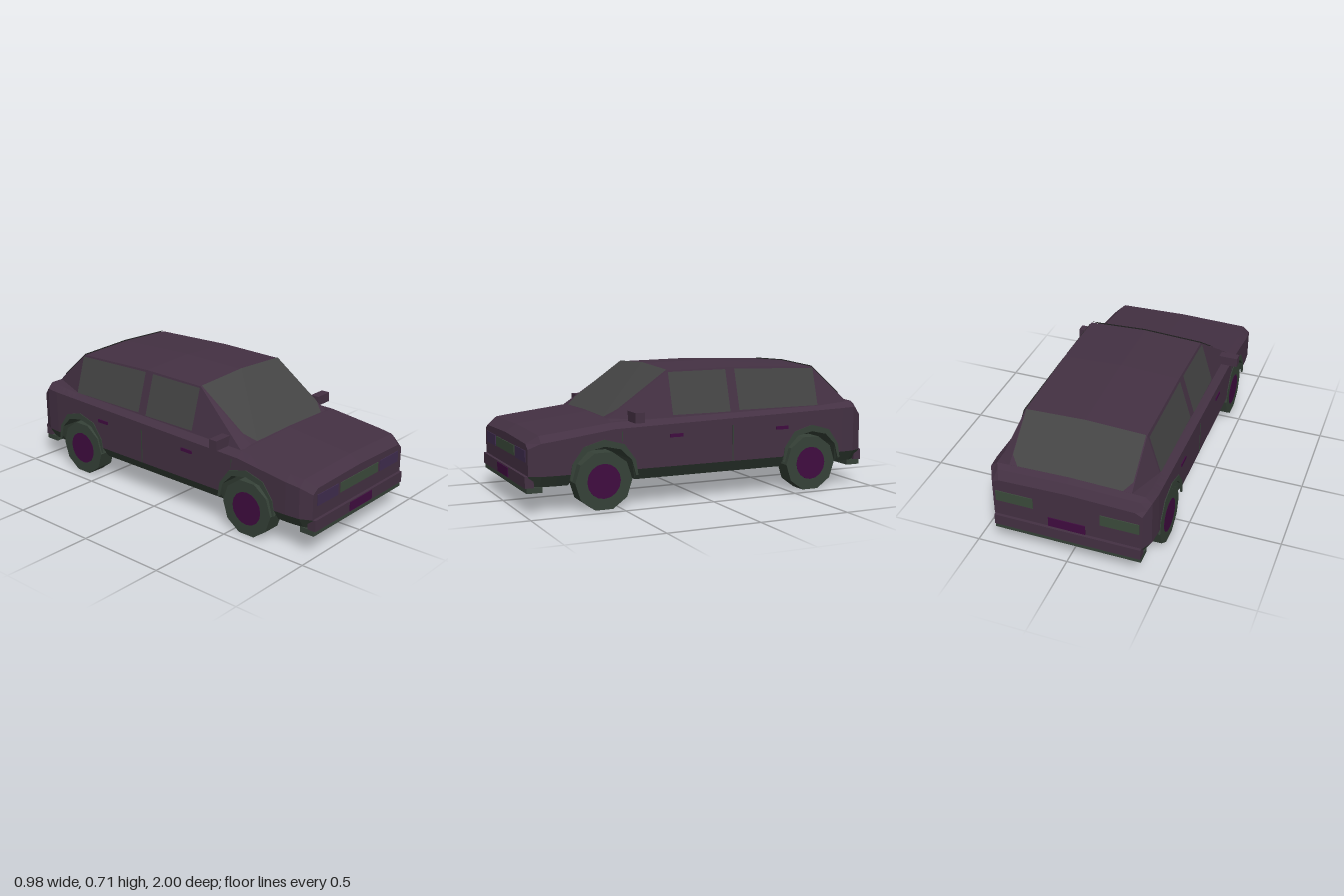
import * as THREE from 'three';

const paint = (name, color, side = THREE.FrontSide) =>
  new THREE.MeshStandardMaterial({ name, color, side, flatShading: true });

// Piecewise linear lookup in a table of [z, value] with falling z
function lookup(table, z) {
  if (z >= table[0][0]) return table[0][1];
  for (let i = 1; i < table.length; i++) {
    const [z0, v0] = table[i - 1], [z1, v1] = table[i];
    if (z >= z1) return v0 + (v1 - v0) * (z - z0) / (z1 - z0);
  }
  return table[table.length - 1][1];
}

function fromTriangles(triangles) {
  const geometry = new THREE.BufferGeometry();
  geometry.setAttribute('position', new THREE.Float32BufferAttribute(triangles.flat(2), 3));
  geometry.computeVertexNormals();
  return geometry;
}

// Skin through cross-sections ordered front to back, points ordered from +x over the top to -x
function skin(sections) {
  const t = [];
  for (let i = 0; i + 1 < sections.length; i++) {
    for (let j = 0; j + 1 < sections[i].length; j++) {
      const a = sections[i][j], b = sections[i + 1][j];
      const c = sections[i + 1][j + 1], d = sections[i][j + 1];
      t.push([a, b, d], [b, c, d]);
    }
  }
  return fromTriangles(t);
}

// Flat face fanned from its first point
const fan = (p) => fromTriangles(p.slice(2).map((q, i) => [p[0], p[i + 1], q]));
const flip = ([x, y, z]) => [-x, y, z];
const mirrored = (half) => [...half, ...half.slice().reverse().map(flip)];

const WHEELS = [['front', 0.59], ['rear', -0.64]];
const ARCH = [[0.18, 0.14], [0.15, 0.25], [0.09, 0.31], [0, 0.33], [-0.09, 0.31], [-0.15, 0.25], [-0.18, 0.14]];
const BOTTOM = WHEELS.flatMap(([, c]) => ARCH.map(([o, y]) => [c + o, y]));
const WIDTH = [[0.98, 0.4], [0.92, 0.43], [0.84, 0.437], [-0.84, 0.437], [-0.92, 0.43], [-0.98, 0.4]];
const BELT = [[0.98, 0.335], [0.92, 0.365], [0.53, 0.415], [-0.92, 0.45], [-0.98, 0.4]];
const DECK = [[0.98, 0.37], [0.92, 0.41], [0.53, 0.455], [-0.7, 0.475], [-0.92, 0.492], [-0.95, 0.475], [-0.98, 0.43]];

export function createModel() {
  const body = paint('body paint', 0x443143);
  const trim = paint('dark trim', 0x364238);
  const glass = paint('glass', 0x444444, THREE.DoubleSide);
  const accent = paint('accent', 0x400c40);
  const lamp = paint('headlamp', 0x402d4f);
  const grille = paint('grille', 0x3c4b3c);

  const car = new THREE.Group();
  car.name = 'car';
  const add = (name, geometry, material, x = 0, y = 0, z = 0) => {
    const mesh = new THREE.Mesh(geometry, material);
    mesh.name = name;
    mesh.position.set(x, y, z);
    car.add(mesh);
    return mesh;
  };
  // Box given by its ranges
  const block = (name, material, x0, x1, y0, y1, z0, z1) =>
    add(name, new THREE.BoxGeometry(x1 - x0, y1 - y0, z1 - z0), material,
      (x0 + x1) / 2, (y0 + y1) / 2, (z0 + z1) / 2);

  // Lower body with wheel tunnels
  const stations = [...new Set([...WIDTH, ...BELT, ...DECK, ...BOTTOM].map((p) => p[0]))].sort((a, b) => b - a);
  const rows = stations.map((z) => {
    const w = lookup(WIDTH, z), low = lookup(BOTTOM, z), deck = lookup(DECK, z);
    const sill = [w - 0.04 * Math.max(0, (0.2 - low) / 0.06), low, z];
    const side = [w, Math.max(low, 0.2), z];
    const upper = [side, [w, lookup(BELT, z), z], [w - 0.037, deck - 0.01, z], [0, deck, z]];
    return { sill, side, upper };
  });
  add('bodyShell', skin(rows.map((r) => mirrored(r.upper))), body);
  add('leftSill', skin(rows.map((r) => [r.sill, r.side])), trim);
  add('rightSill', skin(rows.map((r) => [flip(r.side), flip(r.sill)])), trim);
  add('underside', skin(rows.map((r) => [flip(r.sill), r.sill])), trim);
  const endOutline = (r) => mirrored([r.sill, ...r.upper.slice(0, 3)]);
  add('nosePanel', fan(endOutline(rows[0])), body);
  add('tailPanel', fan(endOutline(rows[rows.length - 1]).reverse()), body);
  // Slim wedges closing the crowned hood and trunk ends
  for (const [name, r, s] of [['noseCrown', rows[0], 1], ['tailCrown', rows[rows.length - 1], -1]]) {
    const [, , edge, top] = r.upper;
    add(name, fan(s > 0 ? [edge, top, flip(edge)] : [flip(edge), top, edge]), body);
  }

  // Cabin: z, roof edge height, roof centre height
  const cabin = [[0.53, 0.455, 0.46], [0.19, 0.69, 0.705], [-0.2, 0.695, 0.71], [-0.7, 0.678, 0.69], [-0.92, 0.485, 0.492]];
  add('cabin', skin(cabin.map(([z, edge, mid]) =>
    mirrored([[0.4, 0.44, z], [0.325, edge, z], [0, mid, z]]))), body);

  // Windscreen and rear window
  const screen = (name, half, dz) => {
    const ring = [...half, ...half.slice(1, -1).reverse().map(flip)];
    add(name, fan(ring), glass, 0, 0.005, dz);
  };
  screen('windscreen', [[0, 0.705, 0.19], [-0.322, 0.69, 0.19], [-0.322, 0.495, 0.47], [-0.28, 0.455, 0.53], [0, 0.46, 0.53]], 0.004);
  screen('rearWindow', [[0, 0.69, -0.7], [0.32, 0.678, -0.7], [0.32, 0.52, -0.88], [0.28, 0.485, -0.92], [0, 0.492, -0.92]], -0.004);

  // Parts repeated on both sides
  const tyreShape = new THREE.Shape();
  for (let i = 0; i < 10; i++) {
    const a = i * Math.PI / 5;
    tyreShape[i ? 'lineTo' : 'moveTo'](0.155 * Math.cos(a), 0.155 * Math.sin(a));
  }
  tyreShape.holes.push(new THREE.Path().absarc(0, 0, 0.09, 0, Math.PI * 2, true));
  const tyre = new THREE.ExtrudeGeometry(tyreShape, { depth: 0.1, bevelEnabled: false, curveSegments: 8 })
    .translate(0, 0, -0.05).rotateY(Math.PI / 2);
  const hub = new THREE.CylinderGeometry(0.091, 0.091, 0.01, 16).rotateZ(Math.PI / 2);
  const archOuter = [[-0.185, 0.17], [-0.172, 0.25], [-0.11, 0.335], [0, 0.366], [0.11, 0.335], [0.172, 0.25], [0.185, 0.17]];
  const archInner = [[0.172, 0.17], ...ARCH.slice(1, -1), [-0.172, 0.17]];
  const archTrim = new THREE.ExtrudeGeometry(
    new THREE.Shape([...archOuter, ...archInner].map(([x, y]) => new THREE.Vector2(x, y))),
    { depth: 0.01, bevelEnabled: false }).translate(0, 0, -0.005).rotateY(Math.PI / 2);

  for (const [side, s] of [['left', 1], ['right', -1]]) {
    const sideBlock = (name, m, x0, x1, ...rest) =>
      block(name, m, Math.min(s * x0, s * x1), Math.max(s * x0, s * x1), ...rest);
    for (const [end, z] of WHEELS) {
      add(`${side}_${end}_tyre`, tyre, trim, s * 0.38, 0.15, z);
      add(`${side}_${end}_hub`, hub, accent, s * 0.426, 0.15, z);
      add(`${side}_${end}_archTrim`, archTrim, trim, s * 0.436, 0, z);
    }
    // Side windows lie on the sloping cabin wall
    const wall = (y, z) => [s * (0.406 - 0.075 * (y - 0.44) / 0.25), y, z];
    const pane = (name, z0, z1, low, top0, top1) =>
      add(`${side}_${name}`, fan([wall(low, z0), wall(low, z1), wall(top1, z1), wall(top0, z0)]), glass);
    pane('frontWindow', 0.19, -0.15, 0.463, 0.683, 0.685);
    pane('rearSideWindow', -0.205, -0.7, 0.468, 0.685, 0.672);

    sideBlock(`${side}_mirror`, body, 0.385, 0.49, 0.445, 0.498, 0.39, 0.44);
    for (const z of [0.187, -0.448])
      sideBlock(`${side}_doorHandle`, accent, 0.434, 0.442, 0.353, 0.371, z - 0.037, z + 0.037);
    sideBlock(`${side}_rearDoorSeam`, trim, 0.434, 0.439, 0.2, 0.395, -0.149, -0.143);
    sideBlock(`${side}_frontDoorSeam`, trim, 0.434, 0.439, 0.35, 0.4, 0.49, 0.494);
    sideBlock(`${side}_headlamp`, lamp, 0.19, 0.365, 0.266, 0.326, 0.977, 0.984);
    sideBlock(`${side}_tailLamp`, grille, 0.18, 0.385, 0.29, 0.352, -0.984, -0.977);
  }

  // Grille, bumpers, lips and plates
  block('grille', grille, -0.17, 0.17, 0.27, 0.324, 0.977, 0.984);
  block('frontBumper', body, -0.396, 0.396, 0.14, 0.2, 0.95, 0.996);
  block('rearBumper', body, -0.396, 0.396, 0.14, 0.2, -0.996, -0.95);
  block('frontLip', trim, -0.396, 0.396, 0.113, 0.142, 0.905, 0.988);
  block('rearLip', trim, -0.396, 0.396, 0.113, 0.142, -0.988, -0.905);
  block('frontPlate', accent, -0.1, 0.1, 0.146, 0.195, 0.993, 1);
  block('rearPlate', accent, -0.1, 0.1, 0.203, 0.257, -0.985, -0.977);
  return car;
}
